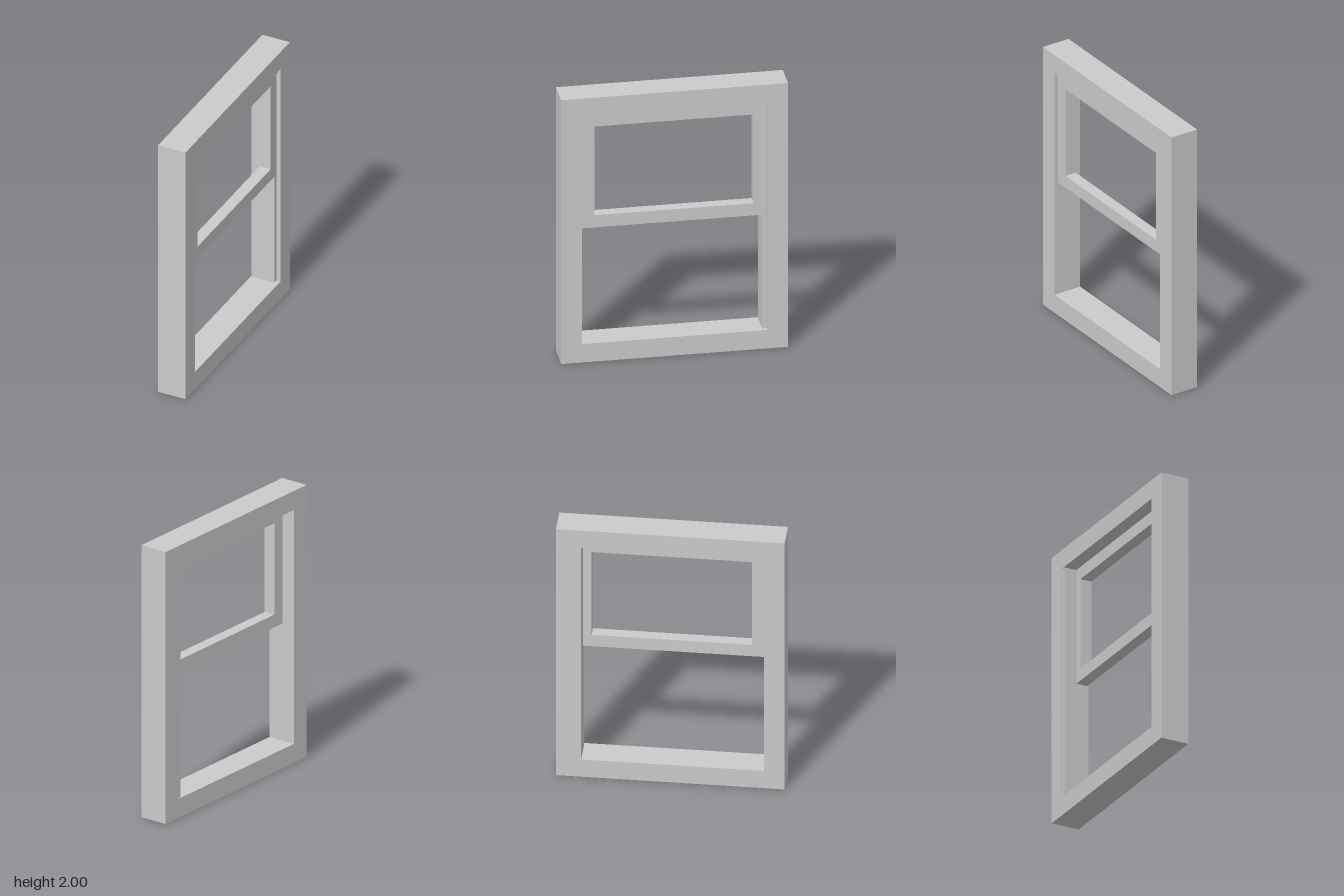
import * as THREE from 'three';

const material = new THREE.MeshStandardMaterial({ color: 0xcccccc, flatShading: true });

// Box given by its extents along each axis
function bar(name, [x0, x1], [y0, y1], [z0, z1]) {
  const mesh = new THREE.Mesh(new THREE.BoxGeometry(x1 - x0, y1 - y0, z1 - z0), material);
  mesh.position.set((x0 + x1) / 2, (y0 + y1) / 2, (z0 + z1) / 2);
  mesh.name = name;
  return mesh;
}

// Rectangular frame: top and bottom rails with two stiles between them
function frame(name, x, [y0, y1], halfWidth, rail, stile) {
  const group = new THREE.Group();
  group.name = name;
  const full = [-halfWidth, halfWidth];
  group.add(bar(name + 'BottomRail', x, [y0, y0 + rail], full));
  group.add(bar(name + 'TopRail', x, [y1 - rail, y1], full));
  const middle = [y0 + rail, y1 - rail];
  group.add(bar(name + 'FrontStile', x, middle, [halfWidth - stile, halfWidth]));
  group.add(bar(name + 'BackStile', x, middle, [-halfWidth, -halfWidth + stile]));
  return group;
}

export function createModel() {
  const model = new THREE.Group();
  model.name = 'sashWindow';

  // Outer casing
  model.add(frame('casing', [-0.105, 0.105], [0, 2], 0.787, 0.14, 0.143));

  // Upper sash, set slightly behind the +x face
  model.add(frame('upperSash', [-0.007, 0.077], [1.003, 1.86], 0.644, 0.092, 0.091));

  // Thin guide strip along the back jamb
  model.add(bar('guideStrip', [-0.1, 0.074], [0.14, 1.86], [-0.644, -0.613]));

  return model;
}
